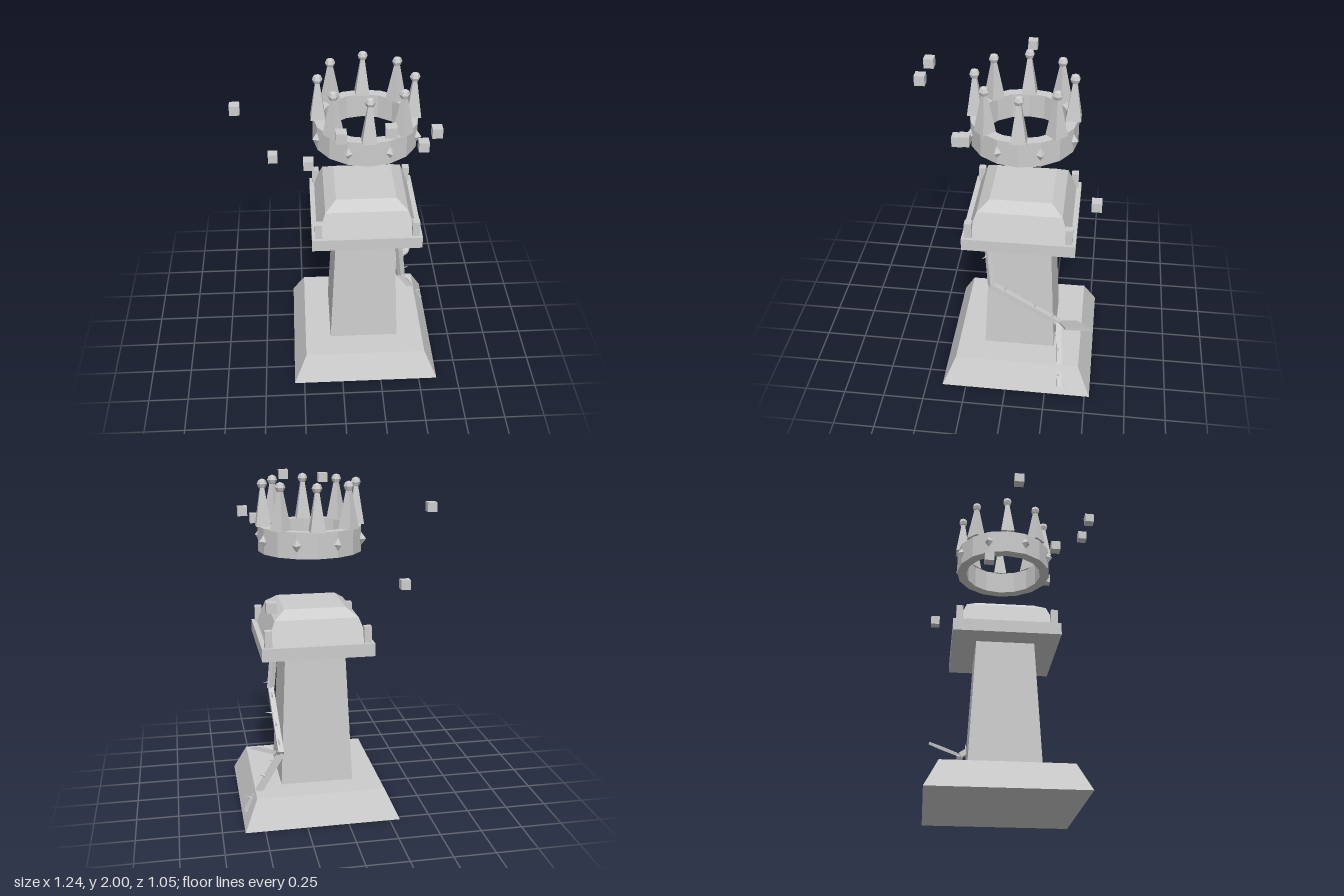
import * as THREE from 'three';

const CX = 0.152, CZ = -0.065; // tower axis

export function createModel() {
  const model = new THREE.Group();
  const stone = new THREE.MeshStandardMaterial({ color: 0xcccccc, flatShading: true });
  stone.name = 'pale grey stone';

  const add = (parent, name, geometry, x = 0, y = 0, z = 0) => {
    const mesh = new THREE.Mesh(geometry, stone);
    mesh.name = name;
    mesh.position.set(x, y, z);
    parent.add(mesh);
    return mesh;
  };
  const group = (name, x = 0, y = 0, z = 0) => {
    const g = new THREE.Group();
    g.name = name;
    g.position.set(x, y, z);
    model.add(g);
    return g;
  };
  // Square tapered block given by its half widths and height range
  const frustum = (bottom, top, y0, y1) =>
    new THREE.CylinderGeometry(top * Math.SQRT2, bottom * Math.SQRT2, y1 - y0, 4)
      .rotateY(Math.PI / 4).translate(0, (y0 + y1) / 2, 0);

  // Tower
  const tower = group('tower', CX, 0, CZ);
  add(tower, 'plinth', frustum(0.465, 0.385, 0, 0.173));
  add(tower, 'column', frustum(0.22, 0.18, 0.173, 1.0));
  add(tower, 'ledge', frustum(0.33, 0.33, 1.0, 1.077));
  add(tower, 'capBody', frustum(0.3, 0.247, 1.077, 1.217));
  add(tower, 'capTop', frustum(0.247, 0.18, 1.217, 1.266));
  for (const sx of [-1, 1]) for (const sz of [-1, 1])
    add(tower, 'cornerPost', new THREE.BoxGeometry(0.043, 0.1, 0.043), sx * 0.29, 1.125, sz * 0.29);

  // Floating crown
  const crown = group('crown', CX, 0, CZ);
  const band = [[0.246, 1.58], [0.307, 1.58], [0.307, 1.73], [0.246, 1.73], [0.246, 1.58]]
    .map(([r, y]) => new THREE.Vector2(r, y));
  add(crown, 'crownBand', new THREE.LatheGeometry(band, 16));
  for (let i = 0; i < 8; i++) {
    const a = i * Math.PI / 4, b = a + Math.PI / 8;
    const spike = add(crown, 'crownSpike', frustum(0.043, 0.011, 1.728, 1.955),
      0.275 * Math.sin(a), 0, 0.275 * Math.cos(a));
    spike.rotation.y = a;
    add(crown, 'spikeBall', new THREE.SphereGeometry(0.03, 6, 4),
      0.275 * Math.sin(a), 1.97, 0.275 * Math.cos(a));
    const stud = add(crown, 'crownStud', new THREE.OctahedronGeometry(1),
      0.308 * Math.sin(b), 1.656, 0.308 * Math.cos(b));
    stud.scale.set(0.027, 0.038, 0.03);
    stud.rotation.y = b;
  }

  // Floating cubes
  const debris = group('debris');
  for (const [x, y, z] of [
    [-0.595, 1.81, 0.04 - 0.08], [-0.4, 1.375, -0.198], [-0.187, 1.607, 0.236], [-0.02, 1.94, 0.495],
    [0.236, 1.965, 0.493], [0.525, 1.778, 0.21], [0.447, 1.725, 0.262], [0.437, 1.35, -0.5],
  ]) add(debris, 'floatingCube', new THREE.BoxGeometry(0.058, 0.058, 0.058), x, y, z);

  // Thorny vine: straight square stems from joint to joint
  const vine = group('vine');
  const joints = [[0.355, 0.94, 0.127], [0.385, 0.66, 0.105], [0.375, 0.39, -0.31], [0.592, 0.045, -0.342]]
    .map(p => new THREE.Vector3(...p));
  for (let i = 0; i < 3; i++) {
    const a = joints[i], b = joints[i + 1];
    const stem = add(vine, 'vineStem', new THREE.BoxGeometry(0.034, 0.034, a.distanceTo(b)));
    stem.position.lerpVectors(a, b, 0.5);
    stem.lookAt(b);
  }
  // Thorns: stem index, place along the stem, direction
  const up = new THREE.Vector3(0, 1, 0);
  for (const [i, t, ...dir] of [
    [0, 0.22, 1, 0, 0.8], [0, 0.85, 1, 0.1, -0.4],
    [1, 0.18, 0.1, 1, -0.3], [1, 0.4, 1, 0.2, 0], [1, 0.62, 0.2, 1, -0.3], [1, 0.9, 0.2, 1, -0.2],
    [2, 0.12, 1, -0.2, 0.6], [2, 0.4, 0.9, 0.3, 0.1], [2, 0.8, 0.8, 0.4, 0.3], [2, 0.97, 0.3, 0, -0.8],
  ]) {
    const thorn = add(vine, 'thorn', new THREE.ConeGeometry(0.009, 0.06, 4).translate(0, 0.03, 0));
    thorn.position.lerpVectors(joints[i], joints[i + 1], t);
    thorn.quaternion.setFromUnitVectors(up, new THREE.Vector3(...dir).normalize());
  }

  // Kite-shaped leaf rising outward from the lower joint
  const kite = new THREE.Shape([[0, 0], [0.05, 0.13], [0, 0.31], [-0.05, 0.13]]
    .map(p => new THREE.Vector2(...p)));
  const leaf = add(vine, 'leaf',
    new THREE.ExtrudeGeometry(kite, { depth: 0.018, bevelEnabled: false }).translate(0, 0, -0.009),
    0.375, 0.39, -0.31);
  const along = new THREE.Vector3(0.19, 0.14, -0.195).normalize();
  const side = new THREE.Vector3(1, 0, 1).normalize();
  leaf.quaternion.setFromRotationMatrix(
    new THREE.Matrix4().makeBasis(side, along, side.clone().cross(along).normalize()));

  return model;
}
